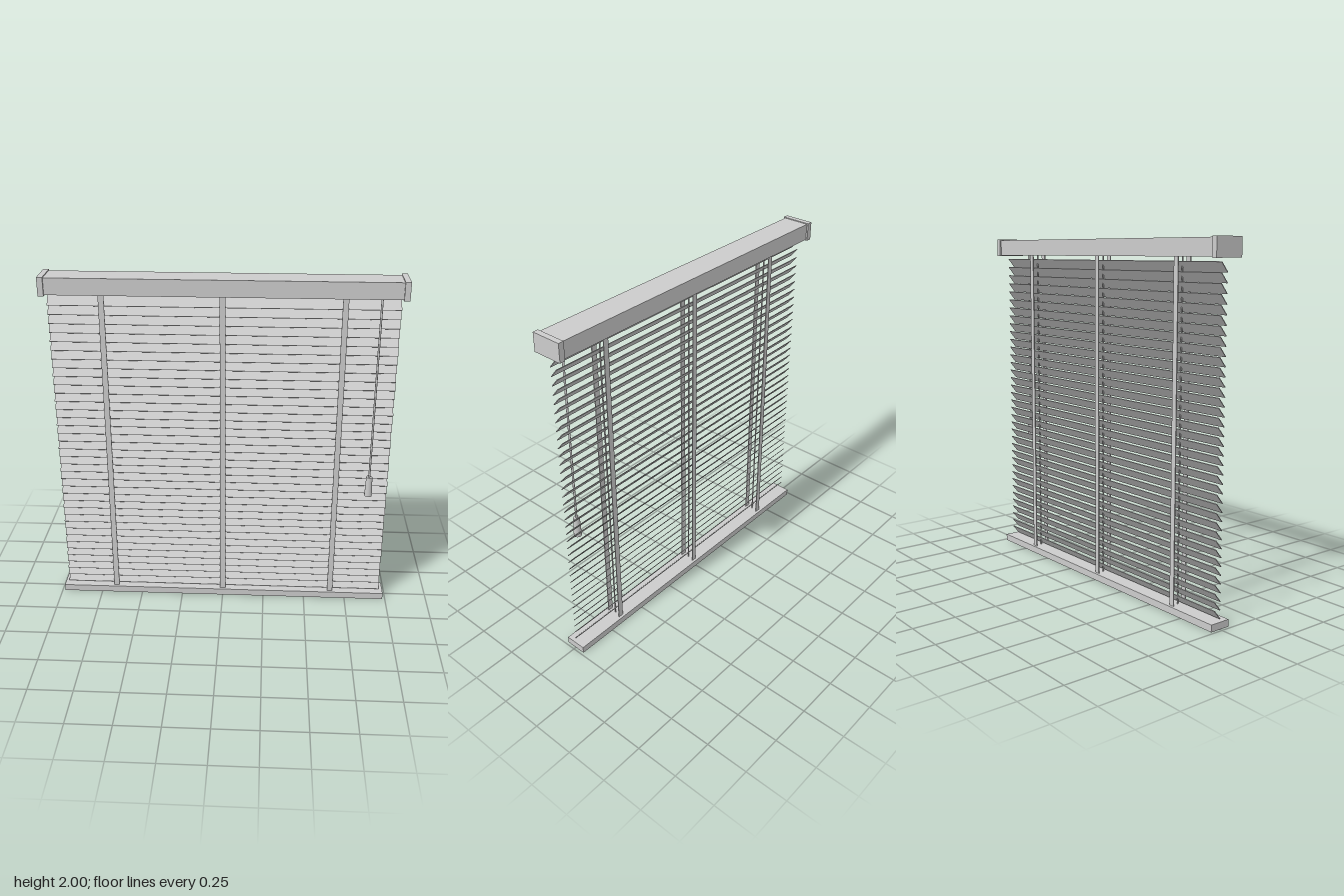
import * as THREE from 'three';

export function createModel() {
  const model = new THREE.Group();
  model.name = 'venetianBlind';
  const grey = new THREE.MeshStandardMaterial({ color: 0xcccccc });

  const add = (name, geometry, x, y, z, parent = model) => {
    const mesh = new THREE.Mesh(geometry, grey);
    mesh.name = name;
    mesh.position.set(x, y, z);
    parent.add(mesh);
    return mesh;
  };
  const box = (w, h, d) => new THREE.BoxGeometry(w, h, d);

  // Head rail with end caps, and bottom rail
  add('headRail', box(1.93, 0.094, 0.156), 0, 1.948, 0);
  for (const side of [-1, 1]) {
    add(side > 0 ? 'leftEndCap' : 'rightEndCap', box(0.032, 0.104, 0.174), side * 0.976, 1.948, 0);
  }
  add('bottomRail', box(1.968, 0.04, 0.124), 0, 0.02, 0);

  // Tilted slats, front edge down, slightly closer together towards the bottom
  const slats = new THREE.Group();
  slats.name = 'slats';
  model.add(slats);
  const slatCount = 37;
  const slatGeometry = box(1.926, 0.004, 0.066);
  for (let i = 0; i < slatCount; i++) {
    const t = i / (slatCount - 1);
    const y = 0.072 + 1.78 * (0.94 * t + 0.06 * t * t);
    add('slat', slatGeometry, 0, y, 0, slats).rotation.x = THREE.MathUtils.degToRad(51);
  }

  // Ladder tapes front and back, with a lift cord between them
  const tapeGeometry = box(0.032, 1.86, 0.005);
  const liftGeometry = new THREE.CylinderGeometry(0.004, 0.004, 1.86, 8);
  for (const x of [-0.66, 0, 0.66]) {
    add('frontTape', tapeGeometry, x, 0.97, 0.043);
    add('backTape', tapeGeometry, x, 0.97, -0.043);
    add('liftCord', liftGeometry, x, 0.97, 0);
  }

  // Pull cord and its tassel
  add('pullCord', new THREE.CylinderGeometry(0.006, 0.006, 1.07, 10), 0.85, 1.37, 0.058);
  add('tassel', new THREE.CylinderGeometry(0.018, 0.022, 0.12, 16), 0.85, 0.78, 0.058);

  return model;
}
